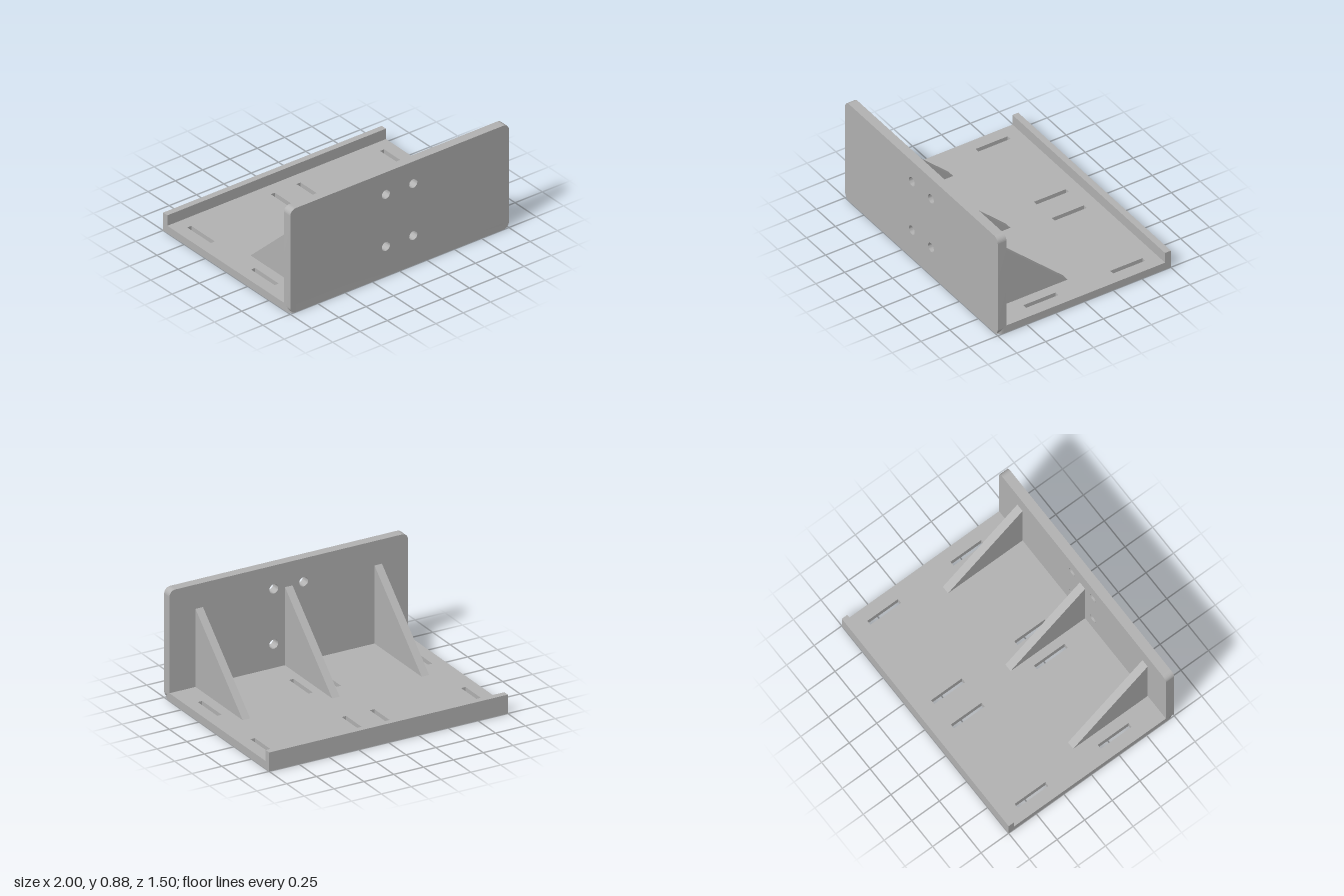
import * as THREE from 'three';
import { toCreasedNormals } from 'three/addons/utils/BufferGeometryUtils.js';

const BASE_T = 0.0625, PLATE_BACK = 0.675, FRONT = 0.75, R = 0.05;

const metal = new THREE.MeshStandardMaterial({ color: 0xb3b3b3 });
metal.name = 'plain grey';

function part(name, geometry) {
  const mesh = new THREE.Mesh(geometry, metal);
  mesh.name = name;
  return mesh;
}

function extrude(shape, depth) {
  const g = new THREE.ExtrudeGeometry(shape, { depth, bevelEnabled: false, curveSegments: 16 });
  return toCreasedNormals(g, 0.5);
}

// Rectangle with a rounded top pair and an optional rounded bottom pair of corners
function plateShape(y0, y1, rBottom) {
  const s = new THREE.Shape();
  s.moveTo(-1 + rBottom, y0);
  s.lineTo(1 - rBottom, y0);
  if (rBottom) s.absarc(1 - rBottom, y0 + rBottom, rBottom, -Math.PI / 2, 0, false);
  s.lineTo(1, y1 - R);
  s.absarc(1 - R, y1 - R, R, 0, Math.PI / 2, false);
  s.lineTo(-1 + R, y1);
  s.absarc(-1 + R, y1 - R, R, Math.PI / 2, Math.PI, false);
  s.lineTo(-1, y0 + rBottom);
  if (rBottom) s.absarc(-1 + rBottom, y0 + rBottom, rBottom, Math.PI, Math.PI * 1.5, false);
  return s;
}

export function createModel() {
  const model = new THREE.Group();
  model.name = 'angleBracket';

  // Upright front plate with four round bolt holes
  const front = plateShape(0, 0.875, R);
  for (const x of [-0.125, 0.125]) {
    for (const y of [0.252, 0.69]) {
      const hole = new THREE.Path();
      hole.absarc(x, y, 0.037, 0, Math.PI * 2, true);
      front.holes.push(hole);
    }
  }
  const frontPlate = part('frontPlate', extrude(front, FRONT - PLATE_BACK));
  frontPlate.position.z = PLATE_BACK;
  model.add(frontPlate);

  // Base plate, drawn in plan (shape y becomes z), with eight slots
  const base = plateShape(-0.7, FRONT, 0);
  const w = 0.0185;
  for (const x of [-0.8825, -0.1175, 0.1175, 0.8825]) {
    for (const [z0, z1] of [[-0.593, -0.315], [0.16, 0.438]]) {
      base.holes.push(new THREE.Path([
        new THREE.Vector2(x - w, z0), new THREE.Vector2(x - w, z1),
        new THREE.Vector2(x + w, z1), new THREE.Vector2(x + w, z0),
      ]));
    }
  }
  const basePlate = part('basePlate', extrude(base, BASE_T));
  basePlate.rotation.x = Math.PI / 2;
  basePlate.position.y = BASE_T;
  model.add(basePlate);

  // Raised lip along the back edge
  const lip = part('rearLip', new THREE.BoxGeometry(2, 0.15, 0.05));
  lip.position.set(0, 0.075, -0.725);
  model.add(lip);

  // Three triangular ribs; shape x becomes z
  const ribT = 0.0625;
  const rib = new THREE.Shape();
  rib.moveTo(0, BASE_T);
  rib.lineTo(-PLATE_BACK, BASE_T);
  rib.lineTo(-PLATE_BACK, 0.682);
  rib.closePath();
  const ribGeometry = extrude(rib, ribT);
  ribGeometry.rotateY(Math.PI / 2);
  for (const [name, x] of [['rightRib', -0.75], ['middleRib', 0], ['leftRib', 0.75]]) {
    const mesh = part(name, ribGeometry);
    mesh.position.x = x - ribT / 2;
    model.add(mesh);
  }

  return model;
}
